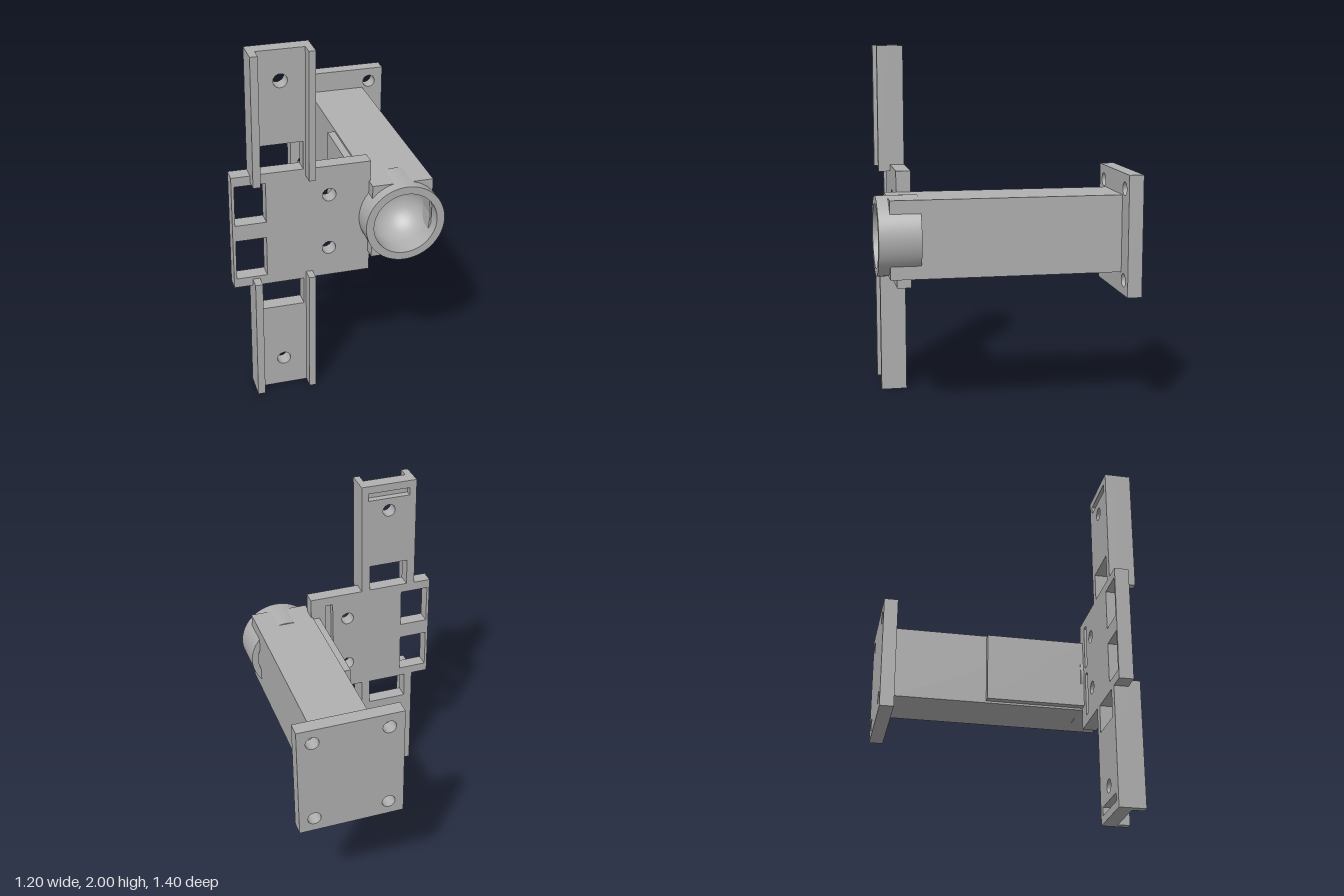
import * as THREE from 'three';
import { toCreasedNormals } from 'three/addons/utils/BufferGeometryUtils.js';

const grey = new THREE.MeshStandardMaterial({ color: 0xb0b0b0 });
grey.name = 'grey';

const CX = 0.3025; // axis of the arm and socket
const CY = 1.0;    // mid height

function polygon(points, PathType = THREE.Shape) {
  return new PathType(points.map(([x, y]) => new THREE.Vector2(x, y)));
}
function rect(x0, y0, x1, y1, PathType = THREE.Path) {
  return polygon([[x0, y0], [x1, y0], [x1, y1], [x0, y1]], PathType);
}
function circle(x, y, r) {
  return new THREE.Path().absarc(x, y, r, 0, Math.PI * 2, true);
}
function mesh(name, geometry) {
  const m = new THREE.Mesh(geometry, grey);
  m.name = name;
  return m;
}
// Flat shape pushed from z0 to z1, with crisp edges and smooth holes
function slab(name, shape, holes, z0, z1) {
  shape.holes.push(...holes);
  const g = new THREE.ExtrudeGeometry(shape, { depth: z1 - z0, bevelEnabled: false, curveSegments: 32 });
  g.translate(0, 0, z0);
  return mesh(name, toCreasedNormals(g, 0.6));
}
function box(name, x0, x1, y0, y1, z0, z1) {
  const g = new THREE.BoxGeometry(x1 - x0, y1 - y0, z1 - z0);
  g.translate((x0 + x1) / 2, (y0 + y1) / 2, (z0 + z1) / 2);
  return mesh(name, g);
}

// Cross-shaped bracket: square plate with a rail above and below
function bracket() {
  const group = new THREE.Group();
  group.name = 'railBracket';
  const outline = () => polygon([
    [-0.6, -0.328], [-0.5, -0.328], [-0.5, -1], [-0.17, -1], [-0.17, -0.328], [0.145, -0.328],
    [0.145, 0.328], [-0.17, 0.328], [-0.17, 1], [-0.5, 1], [-0.5, 0.328], [-0.6, 0.328],
  ]);
  const through = () => [1, -1].flatMap((s) => [
    rect(-0.585, s * 0.046, -0.42, s * 0.275),  // side windows
    rect(-0.452, s * 0.328 + s * 0.002, -0.22, s * 0.488), // rail windows
    circle(-0.335, s * 0.833, 0.037),
    circle(-0.08, s * 0.16, 0.037),
  ]);
  // Shallow slots open only to the back
  const slots = [1, -1].flatMap((s) => [
    rect(-0.46, s * 0.91, -0.21, s * 0.955),
    rect(0.012, s * 0.02, 0.055, s * 0.275),
  ]);
  group.add(slab('bracketBack', outline(), [...through(), ...slots], 0.49, 0.53));
  group.add(slab('bracketFront', outline(), through(), 0.53, 0.57));
  // Raised lips along the rails
  for (const s of [1, -1]) {
    for (const [x0, x1] of [[-0.5, -0.46], [-0.207, -0.17]]) {
      const [y0, y1] = s > 0 ? [0.29, 1] : [-1, -0.29];
      group.add(box('railLip', x0, x1, y0, y1, 0.57, 0.637));
    }
  }
  group.position.y = CY;
  return group;
}

// Round cup with a domed bottom, opening to the front
function socket() {
  const R = 0.2175, r = 0.175, centre = 0.6;
  const profile = [[0.18, 0.472], [R, 0.472], [R, 0.7], [r, 0.7]];
  for (let i = 0; i <= 16; i++) {
    const a = (i / 16) * Math.PI / 2;
    profile.push([i === 16 ? 0 : r * Math.cos(a), centre - r * Math.sin(a)]);
  }
  const g = new THREE.LatheGeometry(profile.map(([x, y]) => new THREE.Vector2(x, y)), 64);
  g.rotateX(Math.PI / 2);
  g.translate(CX, CY, 0);
  return mesh('socket', toCreasedNormals(g, 0.6));
}

export function createModel() {
  const model = new THREE.Group();
  model.name = 'wallBracket';

  // Wall plate with four screw holes
  const screwHoles = [];
  for (const sx of [1, -1]) {
    for (const sy of [1, -1]) screwHoles.push(circle(CX + sx * 0.208, CY + sy * 0.25, 0.037));
  }
  model.add(slab('wallPlate', rect(0.01, 0.67, 0.595, 1.333, THREE.Shape), screwHoles, -0.7, -0.62));

  // Square arm, hollowed at the front for the socket
  const ax = 0.1665, ay = 0.212;
  model.add(box('arm', CX - ax, CX + ax, CY - ay, CY + ay, -0.62, 0.42));
  // Corner pieces of the arm beside the socket
  for (const sx of [1, -1]) {
    for (const sy of [1, -1]) {
      const X = (v) => CX + sx * v, Y = (v) => CY + sy * v;
      const corner = polygon([[X(ax), Y(0)], [X(ax), Y(ay)], [X(0), Y(ay)], [X(0), Y(0.205)], [X(0.145), Y(0.145)], [X(0.16), Y(0)]]);
      model.add(slab('armCorner', corner, [], 0.42, 0.637));
    }
  }
  model.add(socket());

  // Strip along the arm's side, joining the bracket
  model.add(box('sideStrip', 0.095, CX - ax, 0.8, 1.2, -0.08, 0.49));
  model.add(bracket());
  return model;
}
